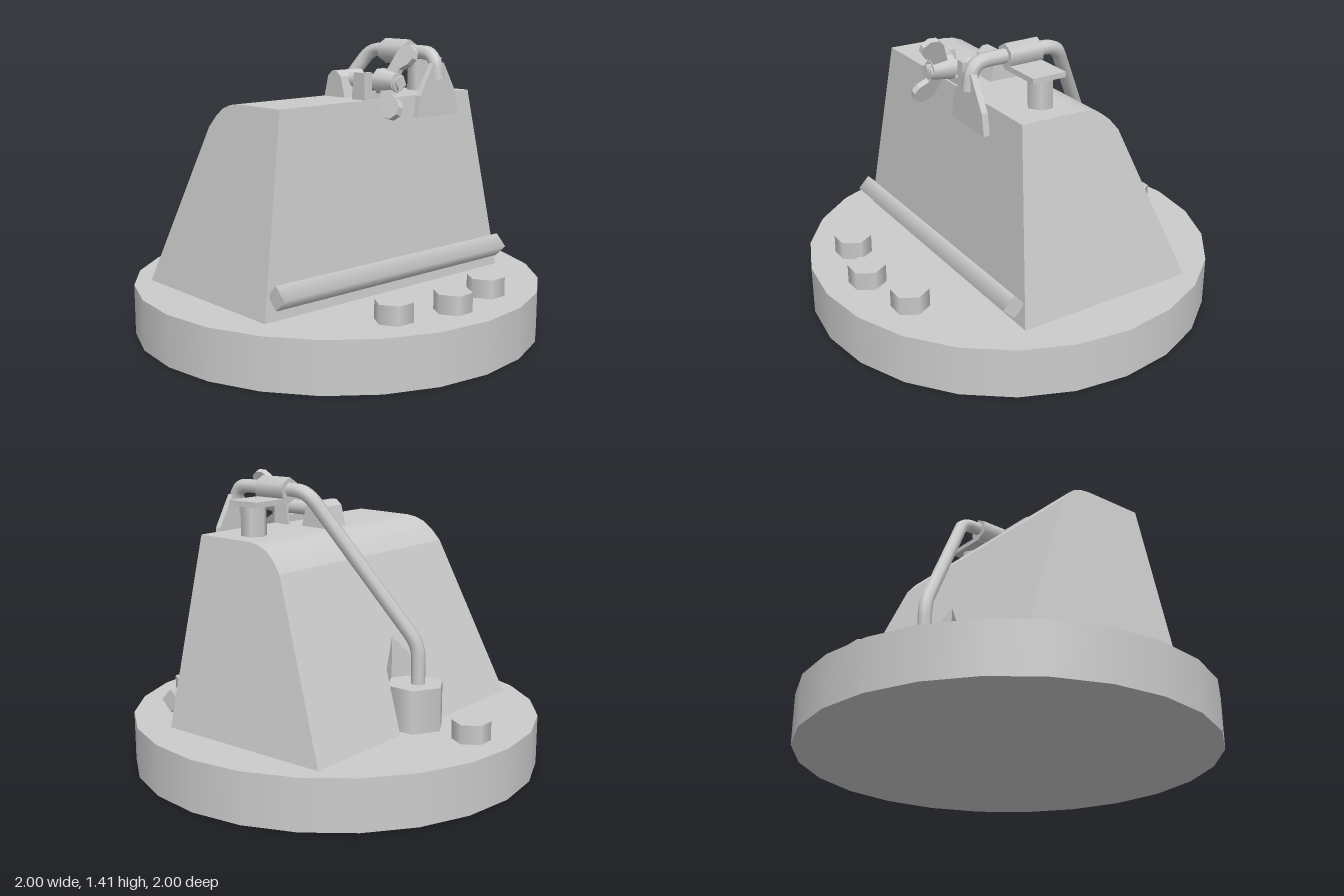
import * as THREE from 'three';

const steel = new THREE.MeshStandardMaterial({ color: 0xcccccc, side: THREE.DoubleSide });
steel.name = 'light grey steel';

const FLOOR = 0.245;
const halfWidth = (y) => 0.755 - (y - FLOOR) * 0.171;
const backZ = (y) => -0.52 + (y - FLOOR) * 0.42;

function add(parent, name, geometry, x = 0, y = 0, z = 0) {
  const mesh = new THREE.Mesh(geometry, steel);
  mesh.name = name;
  mesh.position.set(x, y, z);
  parent.add(mesh);
  return mesh;
}

// Surface between two rails of points; smooth along the rails unless flat
function ribbon(a, b, flat = false) {
  const index = [];
  for (let i = 0; i < a.length - 1; i++) {
    const k = i * 2;
    index.push(k, k + 1, k + 3, k, k + 3, k + 2);
  }
  let g = new THREE.BufferGeometry();
  g.setAttribute('position', new THREE.Float32BufferAttribute(a.flatMap((p, i) => [...p, ...b[i]]), 3));
  g.setIndex(index);
  if (flat) g = g.toNonIndexed();
  g.computeVertexNormals();
  return g;
}

function polygon(points) {
  return new THREE.Shape(points.map(([x, y]) => new THREE.Vector2(x, y)));
}

// Slab of a (z, y) outline, thick along x and centred on x = 0
function sideSlab(points, thickness) {
  const g = new THREE.ExtrudeGeometry(polygon(points.map(([z, y]) => [-z, y])), { depth: thickness, bevelEnabled: false });
  g.translate(0, 0, -thickness / 2);
  g.rotateY(Math.PI / 2);
  return g;
}

// Straight runs joined by rounded corners
function bentPath(points, round) {
  const path = new THREE.CurvePath();
  const p = points.map((q) => new THREE.Vector3(...q));
  let start = p[0];
  for (let i = 1; i < p.length - 1; i++) {
    const before = p[i].clone().add(p[i - 1].clone().sub(p[i]).setLength(round));
    const after = p[i].clone().add(p[i + 1].clone().sub(p[i]).setLength(round));
    path.add(new THREE.LineCurve3(start, before));
    path.add(new THREE.QuadraticBezierCurve3(before, p[i], after));
    start = after;
  }
  path.add(new THREE.LineCurve3(start, p[p.length - 1]));
  return path;
}

function buildHousing() {
  const body = new THREE.Group();
  body.name = 'housing';
  const side = (profile, s) => profile.map(([z, y]) => [s * halfWidth(y), y, z]);
  const front = [[0.39, FLOOR], [0.31, 1.155]];
  const top = [[0.31, 1.155], [0.0, 1.15], [-0.05, 1.142], [-0.1, 1.122], [-0.145, 1.085], [backZ(1.03), 1.03]];
  add(body, 'housingFront', ribbon(side(front, -1), side(front, 1)));
  add(body, 'housingTop', ribbon(side(top, -1), side(top, 1)));

  // Sloping end panels
  const outline = [front[0], ...top, [-0.52, FLOOR]];
  for (const s of [-1, 1]) {
    const pts = side(outline, s);
    const tris = [];
    for (let i = 1; i < pts.length - 1; i++) {
      tris.push(...pts[0], ...(s > 0 ? pts[i + 1] : pts[i]), ...(s > 0 ? pts[i] : pts[i + 1]));
    }
    const g = new THREE.BufferGeometry();
    g.setAttribute('position', new THREE.Float32BufferAttribute(tris, 3));
    g.computeVertexNormals();
    add(body, s > 0 ? 'leftEnd' : 'rightEnd', g);
  }

  // Sloping back with a peaked recess around the cup
  const notch = [[-0.165, FLOOR], [-0.115, 0.53], [0, 0.66], [0.115, 0.53], [0.165, FLOOR]];
  const w0 = halfWidth(FLOOR), w1 = halfWidth(1.03);
  const back = new THREE.ShapeGeometry(polygon([[-w0, FLOOR], ...notch, [w0, FLOOR], [w1, 1.03], [-w1, 1.03]]));
  back.rotateY(Math.PI);
  const pos = back.attributes.position;
  for (let i = 0; i < pos.count; i++) pos.setZ(i, backZ(pos.getY(i)));
  back.computeVertexNormals();
  add(body, 'housingBack', back);
  const rim = notch.map(([x, y]) => [x, y, backZ(y)]);
  add(body, 'recessWalls', ribbon(rim, rim.map(([x, , z]) => [x, FLOOR, z]), true));
  return body;
}

function buildClamp() {
  const clamp = new THREE.Group();
  clamp.name = 'clamp';
  add(clamp, 'hingeLug', sideSlab([[0, 1.14], [0.03, 1.25], [0.06, 1.275], [0.09, 1.275], [0.12, 1.25], [0.15, 1.14]], 0.16));
  const rod = new THREE.CylinderGeometry(0.036, 0.036, 0.32, 8).rotateX(Math.PI / 2);
  add(clamp, 'clampRod', rod, 0, 1.23, 0.27);

  // U-shaped bracket with an open slot for the rod
  const plate = polygon([[-0.1, 1.15], [0.1, 1.15], [0.1, 1.28], [0.045, 1.28], [0.045, 1.19], [-0.045, 1.19], [-0.045, 1.28], [-0.1, 1.28]]);
  add(clamp, 'bracketPlate', new THREE.ExtrudeGeometry(plate, { depth: 0.025, bevelEnabled: false }), 0, 0, 0.275);
  for (const s of [-1, 1]) {
    add(clamp, 'bracketTab', sideSlab([[0.22, 1.15], [0.31, 1.15], [0.305, 1.28], [0.235, 1.28]], 0.014), s * 0.093, 0, 0);
  }

  // Wing nut
  const nut = new THREE.Group();
  nut.name = 'wingNut';
  nut.position.set(0, 1.24, 0);
  nut.rotation.z = -0.37;
  add(nut, 'nutHub', new THREE.CylinderGeometry(0.045, 0.062, 0.11, 8).rotateX(Math.PI / 2), 0, 0, 0.365);
  add(nut, 'threadEnd', new THREE.CylinderGeometry(0.036, 0.036, 0.03, 4).rotateX(Math.PI / 2), 0, 0, 0.43);
  const wing = [[0.33, 0.02], [0.36, 0.09], [0.38, 0.145], [0.41, 0.172], [0.45, 0.175], [0.483, 0.15], [0.487, 0.115], [0.465, 0.085], [0.42, 0.06], [0.41, 0.02]];
  for (const s of [0, Math.PI]) {
    const w = add(nut, 'nutWing', sideSlab(wing, 0.03));
    w.rotation.z = s;
  }
  clamp.add(nut);
  return clamp;
}

function buildPipe() {
  const pipe = new THREE.Group();
  pipe.name = 'pipework';
  add(pipe, 'cup', new THREE.CylinderGeometry(0.142, 0.142, 0.21, 6), 0, 0.35, -0.485);
  const path = bentPath([
    [0, 0.4, -0.5], [0, 0.64, -0.5], [0.295, 1.355, -0.07], [0.295, 1.355, 0.37], [0.295, 1.23, 0.388],
  ], 0.07);
  add(pipe, 'pipe', new THREE.TubeGeometry(path, 90, 0.034, 8));

  // Sleeve, its flat arm and the post beneath
  add(pipe, 'sleeve', new THREE.CylinderGeometry(0.06, 0.06, 0.17, 6).rotateX(Math.PI / 2), 0.295, 1.352, 0.118);
  add(pipe, 'arm', new THREE.BoxGeometry(0.225, 0.025, 0.17), 0.408, 1.303, 0.118);
  add(pipe, 'post', new THREE.CylinderGeometry(0.062, 0.062, 0.15, 6), 0.45, 1.217, 0.118);

  // Bell-shaped plate under the spout
  const bell = polygon([[-0.137, 1.06], [0.137, 1.06], [0.122, 1.16], [0.07, 1.25], [0.035, 1.31], [-0.035, 1.31], [-0.07, 1.25], [-0.122, 1.16]]);
  add(pipe, 'spoutPlate', new THREE.ExtrudeGeometry(bell, { depth: 0.03, bevelEnabled: false }), 0.295, 0, 0.368);
  return pipe;
}

export function createModel() {
  const model = new THREE.Group();
  model.name = 'machine';
  add(model, 'base', new THREE.CylinderGeometry(1, 1, FLOOR, 24), 0, FLOOR / 2, 0);
  model.add(buildHousing(), buildClamp(), buildPipe());

  // Square bar set on edge along the front
  const bar = new THREE.CylinderGeometry(0.057, 0.057, 1.44, 4).rotateZ(Math.PI / 2);
  add(model, 'frontBar', bar, 0, 0.36, 0.425);

  // Hexagonal bolts
  for (const [x, z] of [[-0.3, 0.72], [0, 0.79], [0.3, 0.72], [0, -0.8]]) {
    const bolt = add(model, 'bolt', new THREE.CylinderGeometry(0.09, 0.09, 0.1, 6), x, 0.285, z);
    bolt.rotation.y = Math.PI / 6;
  }
  return model;
}
